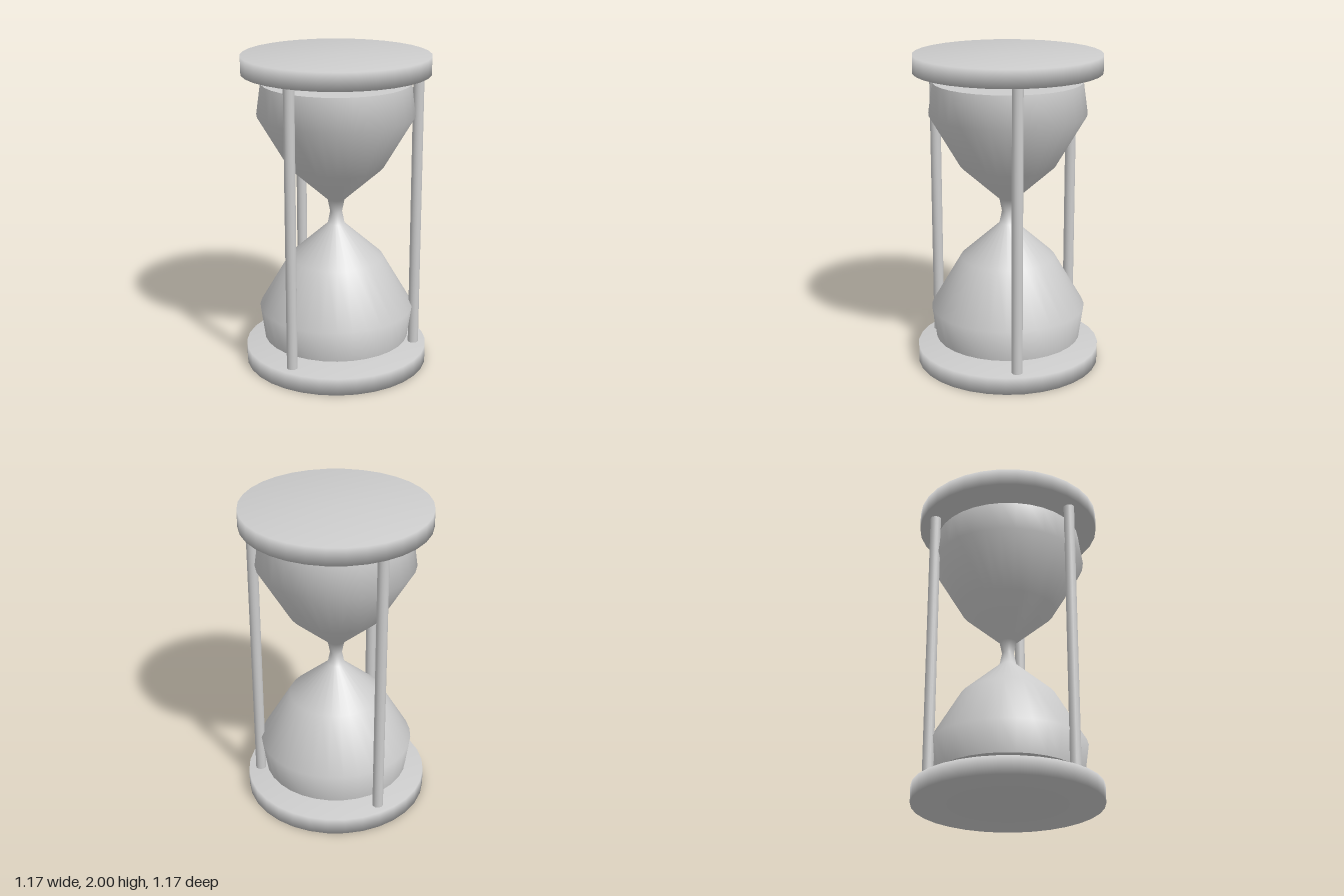
import * as THREE from 'three';

export function createModel() {
  const model = new THREE.Group();
  model.name = 'hourglass';
  const grey = new THREE.MeshStandardMaterial({ color: 0xcccccc });
  grey.name = 'light grey';

  const add = (name, geometry, x = 0, y = 0, z = 0) => {
    const mesh = new THREE.Mesh(geometry, grey);
    mesh.name = name;
    mesh.position.set(x, y, z);
    model.add(mesh);
    return mesh;
  };
  // Smooth solid of revolution from [radius, height] pairs, bottom to top
  const lathe = (points) =>
    new THREE.LatheGeometry(points.map(([r, y]) => new THREE.Vector2(r, y)), 32);

  // End plates, softly shaded around the rim
  const plate = lathe([[0, 0], [0.585, 0], [0.585, 0.11], [0, 0.11]]);
  add('bottomPlate', plate);
  add('topPlate', plate, 0, 1.89);

  // Glass: lower half profile mirrored about the neck
  const lower = [[0.465, 0.17], [0.493, 0.37], [0.3, 0.7], [0.054, 0.92]];
  const upper = lower.map(([r, y]) => [r, 2 - y]).reverse();
  add('glass', lathe([...lower, [0.038, 1], ...upper]));

  // Flat ends of the glass
  const end = new THREE.CircleGeometry(0.465, 32);
  add('glassBottom', end, 0, 0.17).rotation.x = Math.PI / 2;
  add('glassTop', end, 0, 1.83).rotation.x = -Math.PI / 2;

  // Three posts, one at the front
  const post = new THREE.CylinderGeometry(0.034, 0.034, 1.8, 16);
  for (let i = 0; i < 3; i++) {
    const a = (i * Math.PI * 2) / 3;
    add('post' + (i + 1), post, 0.505 * Math.sin(a), 1, 0.505 * Math.cos(a));
  }
  return model;
}
